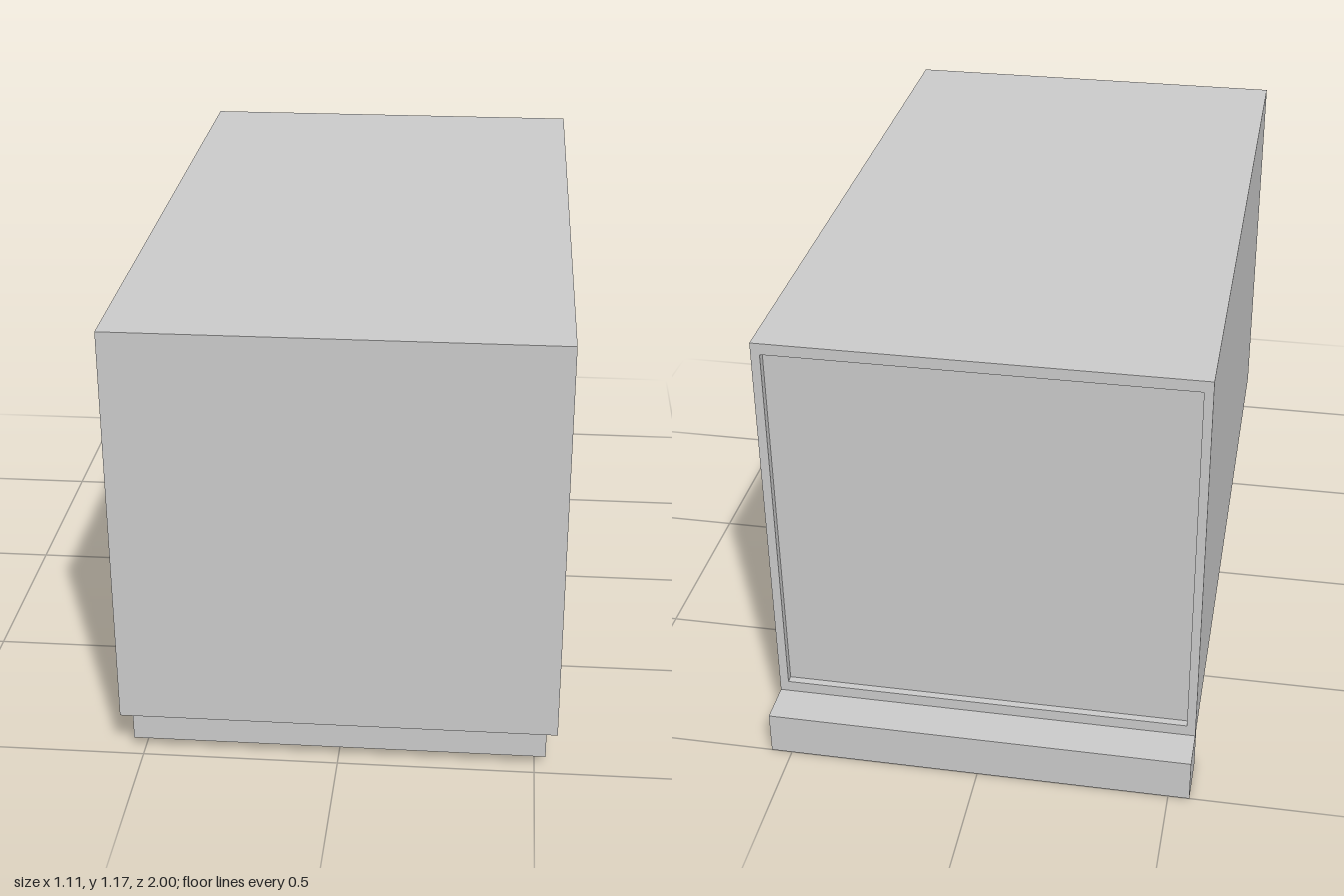
import * as THREE from 'three';

const HALF_W = 0.555, BOTTOM = 0.115, TOP = 1.17, FRONT = 1, BACK = -0.89;
const RECESS = 0.02, FRAME_X = 0.023, FRAME_Y = 0.03;

export function createModel() {
  const group = new THREE.Group();
  const material = new THREE.MeshStandardMaterial({ color: 0xcccccc, flatShading: true });

  function add(name, geometry) {
    const mesh = new THREE.Mesh(geometry, material);
    mesh.name = name;
    group.add(mesh);
    return mesh;
  }

  // Box given by its half width and its y and z limits
  function addBox(name, halfW, y0, y1, z0, z1) {
    const mesh = add(name, new THREE.BoxGeometry(halfW * 2, y1 - y0, z1 - z0));
    mesh.position.set(0, (y0 + y1) / 2, (z0 + z1) / 2);
  }

  function rectangle(path, x, y0, y1) {
    path.moveTo(-x, y0);
    path.lineTo(x, y0);
    path.lineTo(x, y1);
    path.lineTo(-x, y1);
    path.closePath();
    return path;
  }

  // Cargo body, ending at the recessed rear door
  addBox('cargoBody', HALF_W, BOTTOM, TOP, BACK + RECESS, FRONT);

  // Raised rim around the rear door
  const rim = rectangle(new THREE.Shape(), HALF_W, BOTTOM, TOP);
  rim.holes.push(rectangle(new THREE.Path(), HALF_W - FRAME_X, BOTTOM + FRAME_Y, TOP - FRAME_Y));
  const rimGeometry = new THREE.ExtrudeGeometry(rim, { depth: RECESS, bevelEnabled: false });
  add('rearDoorFrame', rimGeometry).position.z = BACK;

  // Cross rails under the floor
  addBox('frontCrossRail', 0.528, 0.03, BOTTOM, 0.945, 0.973);
  addBox('rearCrossRail', 0.528, 0.03, BOTTOM, -0.865, -0.837);

  // Rear bumper step
  addBox('rearBumper', HALF_W, 0, BOTTOM, -1, -0.865);

  return group;
}
